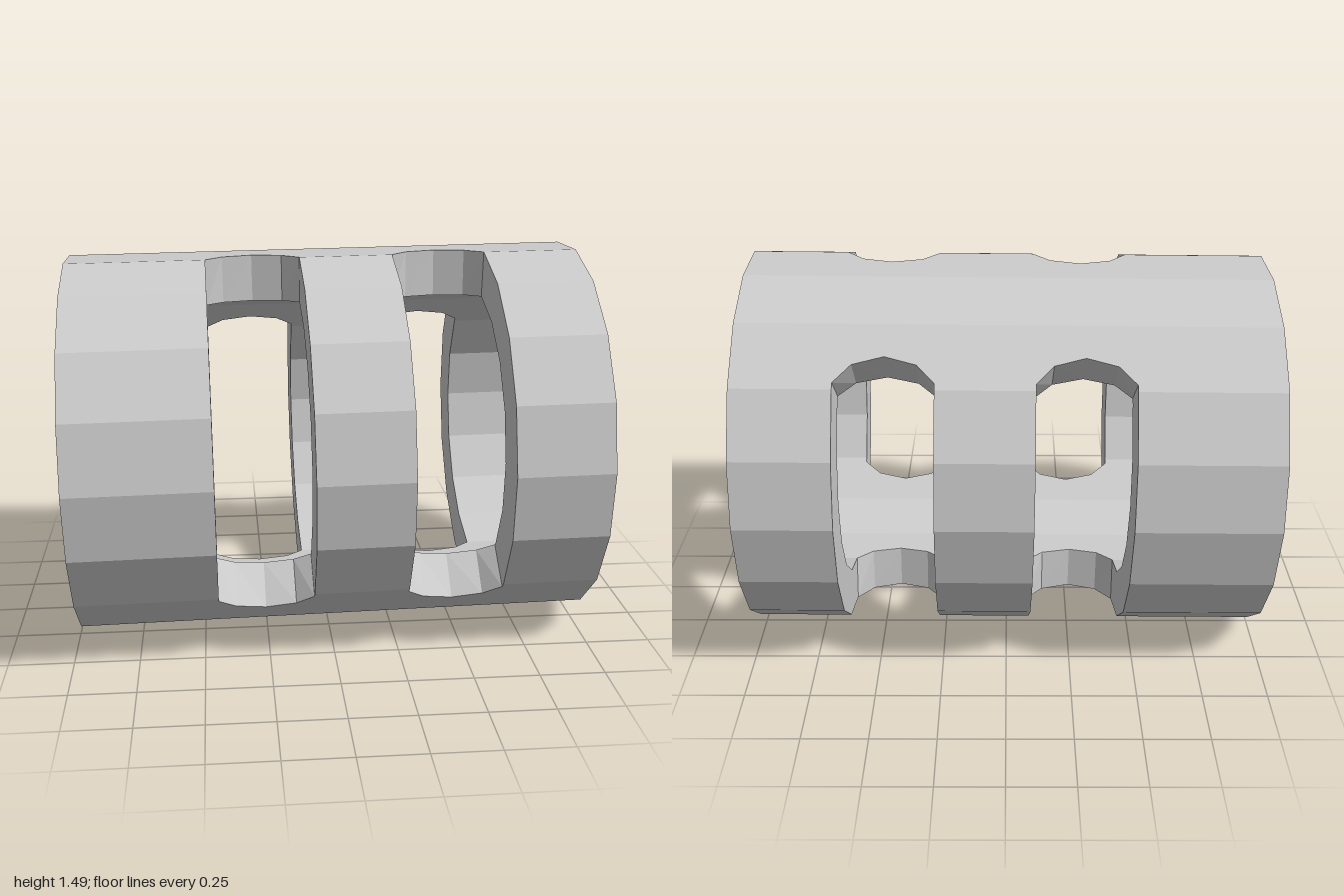
import * as THREE from 'three';

const SIDES = 18, STEP = 360 / SIDES, TURN = 2;   // facets and their turn in degrees
const OUTER = 0.742, INNER = 0.56, HALF = 0.99, FLOOR = -0.815;
const SLOTS = [-0.275, 0.445];                    // slot centres along the axis
// slot end outline: [offset along the axis, degrees the slot is shortened by]
const ARC = [[-0.18, 8], [-0.115, 2.5], [0, 0], [0.115, 2.5], [0.18, 8]];
// openings in degrees, from the front (+z) upwards
const OPENINGS = [[-48, 90], [132, 270]];

// point on the many-sided tube at angle a, r being the corner radius
function point(x, a, r) {
  const local = ((((a - TURN) % STEP) + STEP) % STEP) - STEP / 2;
  const rad = THREE.MathUtils.degToRad;
  const d = r * Math.cos(rad(STEP / 2)) / Math.cos(rad(local));
  return [x, d * Math.sin(rad(a)), d * Math.cos(rad(a))];
}

// angles from start to end with every facet corner in between
function angles(start, end) {
  const list = [start];
  for (let a = TURN - 360; a < end - 0.01; a += STEP) if (a > start + 0.01) list.push(a);
  list.push(end);
  return list;
}

function makeMesh(name, build) {
  const pos = [];
  const quad = (a, b, c, d, flip) => {
    if (flip) [b, d] = [d, b];
    pos.push(...a, ...b, ...c, ...a, ...c, ...d);
  };
  build(quad);
  const geo = new THREE.BufferGeometry();
  geo.setAttribute('position', new THREE.Float32BufferAttribute(pos, 3));
  geo.computeVertexNormals();
  const mesh = new THREE.Mesh(geo, new THREE.MeshStandardMaterial({ color: 0xcccccc, flatShading: true }));
  mesh.name = name;
  return mesh;
}

// curved skin between two lists of angles at x0 and x1
function skin(quad, x0, x1, list0, list1, r, inward) {
  for (let i = 0; i + 1 < list0.length; i++) {
    quad(point(x0, list0[i], r), point(x1, list1[i], r),
      point(x1, list1[i + 1], r), point(x0, list0[i + 1], r), inward);
  }
}

// flat ring sector across the axis
function sector(quad, x, list, rIn, rOut, facesMinusX) {
  for (let i = 0; i + 1 < list.length; i++) {
    quad(point(x, list[i], rIn), point(x, list[i + 1], rIn),
      point(x, list[i + 1], rOut), point(x, list[i], rOut), facesMinusX);
  }
}

export function createModel() {
  const model = new THREE.Group();
  model.name = 'slottedCup';
  const around = angles(TURN, TURN + 360);

  // closed end
  model.add(makeMesh('closedEnd', (quad) => {
    sector(quad, -HALF, around, 0, OUTER, true);
    sector(quad, FLOOR, around, 0, INNER, false);
    skin(quad, -HALF, FLOOR, around, around, OUTER, false);
  }));

  // full rings before, between and after the slots
  const w = ARC[4][0];
  const rings = [
    ['baseRing', FLOOR, SLOTS[0] - w],
    ['middleRing', SLOTS[0] + w, SLOTS[1] - w],
    ['mouthRing', SLOTS[1] + w, HALF],
  ];
  rings.forEach(([name, x0, x1], n) => model.add(makeMesh(name, (quad) => {
    skin(quad, x0, x1, around, around, OUTER, false);
    skin(quad, x0, x1, around, around, INNER, true);
    // side walls of the slots
    for (const [s, e] of OPENINGS) {
      const open = angles(s + ARC[0][1], e - ARC[0][1]);
      if (n > 0) sector(quad, x0, open, INNER, OUTER, true);
      if (n < 2) sector(quad, x1, open, INNER, OUTER, false);
    }
    if (n === 2) sector(quad, HALF, around, INNER, OUTER, false);
  })));

  // bridges joining the rings, with rounded slot ends
  for (const centre of SLOTS) {
    for (const [name, s, e] of [['upperBridge', 90, 132], ['lowerBridge', 270, 312]]) {
      model.add(makeMesh(name, (quad) => {
        const corners = angles(s, e).slice(1, -1);
        for (let i = 0; i < 4; i++) {
          const [x0, d0] = ARC[i], [x1, d1] = ARC[i + 1];
          const a = centre + x0, b = centre + x1;
          const list0 = [s - d0, ...corners, e + d0];
          const list1 = [s - d1, ...corners, e + d1];
          skin(quad, a, b, list0, list1, OUTER, false);
          skin(quad, a, b, list0, list1, INNER, true);
          for (const k of [0, list0.length - 1]) {
            quad(point(a, list0[k], INNER), point(b, list1[k], INNER),
              point(b, list1[k], OUTER), point(a, list0[k], OUTER), k > 0);
          }
        }
      }));
    }
  }

  // slight tilt of the whole cup
  model.rotation.set(0, 0.01, 0.0125);
  model.position.y = 0.7475;
  return model;
}
